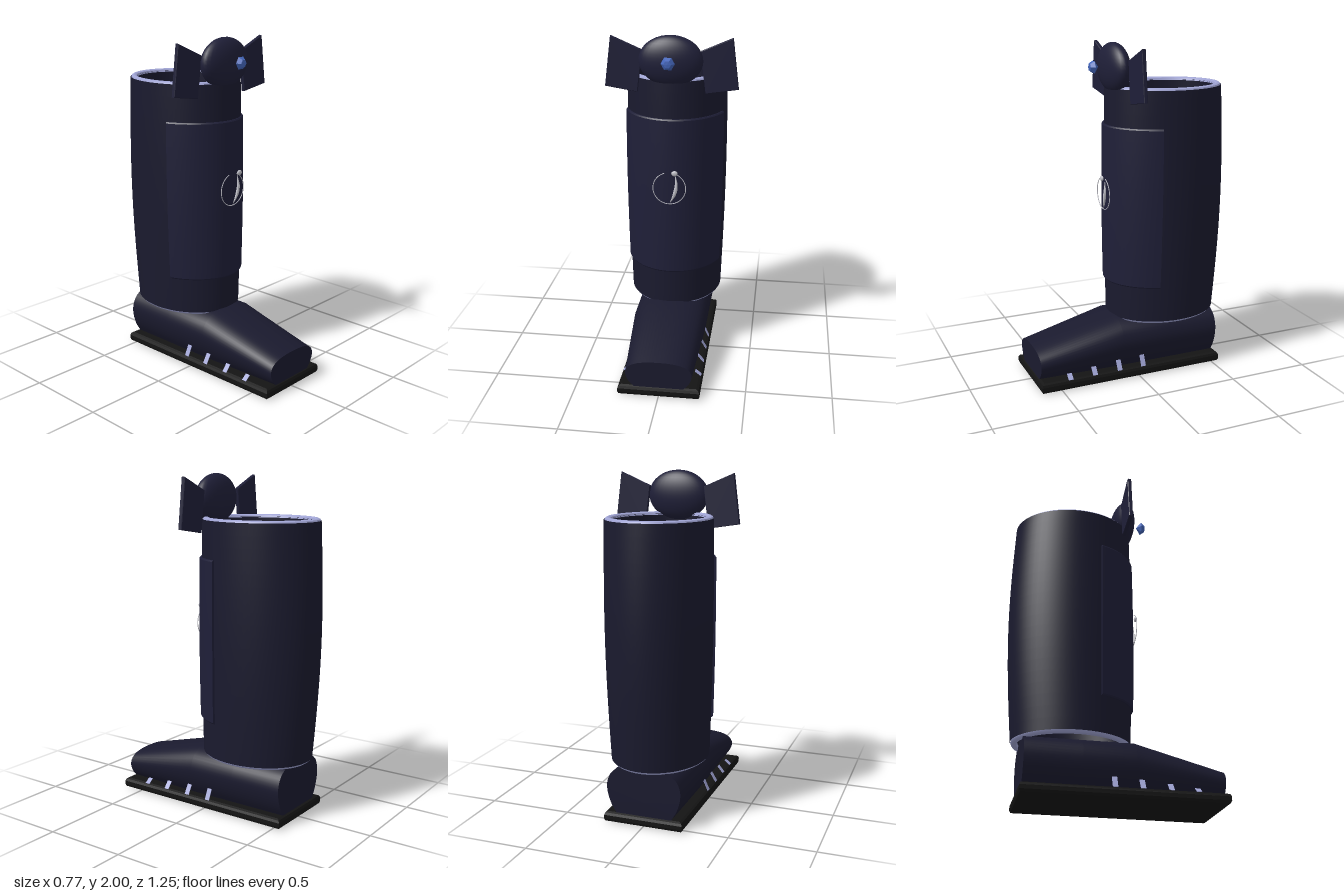
import * as THREE from 'three';
import { toCreasedNormals } from 'three/addons/utils/BufferGeometryUtils.js';

const material = (color, extra = {}) => new THREE.MeshStandardMaterial({ color, ...extra });
const leather = material(0x1a1a2e);
const panelLeather = material(0x1f1f38);
const rubber = material(0x141414);
const trim = material(0xa0a4d4);
const silver = material(0xc0c0c8);
const gemBlue = material(0x4466bb, { flatShading: true });

function add(parent, name, geometry, mat) {
  const mesh = new THREE.Mesh(geometry, mat);
  mesh.name = name;
  parent.add(mesh);
  return mesh;
}

// Skin a grid of points: point(row, column) -> [x, y, z]
function skin(rows, cols, closed, point) {
  const pos = [], index = [];
  for (let i = 0; i < rows; i++)
    for (let j = 0; j < cols; j++) pos.push(...point(i, j));
  for (let i = 0; i < rows - 1; i++)
    for (let j = 0; j < (closed ? cols : cols - 1); j++) {
      const a = i * cols + j, b = i * cols + (j + 1) % cols;
      index.push(a, b, b + cols, a, b + cols, a + cols);
    }
  const geometry = new THREE.BufferGeometry();
  geometry.setAttribute('position', new THREE.Float32BufferAttribute(pos, 3));
  geometry.setIndex(index);
  return toCreasedNormals(geometry, 0.6);
}

// Point on the gently bulging oval leg at a height, angle and inset
function legPoint(y, angle, inset) {
  const t = (y - 0.345) / 1.405;
  const bulge = Math.sin(Math.PI * THREE.MathUtils.clamp(t, 0, 1));
  const rx = 0.283 + 0.018 * t + 0.01 * bulge;
  const front = 0.108 + 0.01 * bulge;
  const back = -0.58 - 0.025 * t - 0.031 * bulge;
  const rz = (front - back) / 2;
  return [Math.sin(angle) * (rx - inset), y, (front + back) / 2 + Math.cos(angle) * (rz - inset)];
}

// Sweep an [inset, y] profile all the way round the leg
function legBand(profile) {
  const n = 64;
  return skin(profile.length, n, true, (i, j) =>
    legPoint(profile[i][1], (j / n) * Math.PI * 2, profile[i][0]));
}

function heights(from, to, steps, inset) {
  return Array.from({ length: steps + 1 }, (_, i) => [inset, from + (to - from) * i / steps]);
}

// Raised panel wrapped round the front of the leg
function wrappedPanel() {
  const y0 = 0.565, y1 = 1.525, reach = 1.2, n = 34;
  const profile = [[0.01, y0], [-0.007, y0], ...heights(y0 + 0.008, y1 - 0.008, 14, -0.013), [-0.007, y1], [0.01, y1]];
  return skin(profile.length, n + 3, false, (i, j) => {
    const k = THREE.MathUtils.clamp(j - 1, 0, n);
    const inset = j === 0 || j === n + 2 ? 0.01 : profile[i][0];
    return legPoint(profile[i][1], -reach + (2 * reach * k) / n, inset);
  });
}

// Foot lofted from one rounded cross-section, tapering to a blunt toe
function footGeometry() {
  const half = [[0.165, 0.055], [0.2, 0.115], [0.221, 0.18], [0.224, 0.24], [0.2, 0.3], [0.15, 0.337], [0.08, 0.356], [0, 0.361]];
  const mirrored = half.slice(0, -1).reverse().map(([x, y]) => [-x, y]);
  const curve = new THREE.CatmullRomCurve3([...half, ...mirrored].map(([x, y]) => new THREE.Vector3(x, y, 0)));
  const ring = curve.getPoints(47);
  // z, width scale, height scale; the end rows close the heel and toe
  const rows = [[-0.525, 0, 0.6], [-0.525, 1, 1], [-0.2, 1, 1], [0.1, 1, 1], [0.615, 0.86, 0.55], [0.615, 0, 0.3]];
  return skin(rows.length, ring.length, true, (i, j) => {
    const [z, sx, sy] = rows[i];
    const y = sx === 0 ? 0.055 + 0.305 * sy * 0.5 : 0.055 + (ring[j].y - 0.055) * sy;
    return [ring[j].x * sx, y, z];
  });
}

function soleGeometry() {
  const x = 0.22, s = new THREE.Shape();
  s.moveTo(-x, -0.607);
  s.lineTo(x, -0.607);
  s.lineTo(x, 0.523);
  s.lineTo(-x, 0.523);
  s.closePath();
  const g = new THREE.ExtrudeGeometry(s, { depth: 0.022, bevelThickness: 0.02, bevelSize: 0.02, bevelSegments: 2 });
  return g.rotateX(-Math.PI / 2).translate(0, 0.02, 0);
}

function bowWing() {
  const s = new THREE.Shape([[0.2, 1.668], [0.383, 1.697], [0.348, 1.982], [0.17, 1.905]].map(p => new THREE.Vector2(...p)));
  const g = new THREE.ExtrudeGeometry(s, { depth: 0.016, bevelThickness: 0.004, bevelSize: 0.003, bevelSegments: 1 });
  return g.translate(0, 0, 0.032);
}

export function createModel() {
  const boot = new THREE.Group();
  boot.name = 'boot';

  add(boot, 'sole', soleGeometry(), rubber);
  add(boot, 'foot', footGeometry(), leather);

  // Hollow leg with pale rims at both ends
  add(boot, 'shaft', legBand([...heights(0.35, 1.742, 20, 0), ...heights(1.742, 0.35, 20, 0.04)]), leather);
  add(boot, 'topRim', legBand([[0.002, 1.738], [0.007, 1.75], [0.016, 1.755], [0.028, 1.755], [0.037, 1.749], [0.042, 1.736]]), trim);
  add(boot, 'bottomRim', legBand([[0.042, 0.354], [0.037, 0.34], [0.028, 0.334], [0.016, 0.334], [0.007, 0.34], [0.002, 0.352]]), trim);
  add(boot, 'frontPanel', wrappedPanel(), panelLeather);

  // Short straps leaning from the sole to both sides of the foot
  const strapMat = material(0xa0a4d4, { side: THREE.DoubleSide });
  [[-0.025, 0.135], [0.13, 0.118], [0.29, 0.102], [0.445, 0.087]].forEach(([z, top]) => {
    for (const side of [-1, 1]) {
      const dx = 0.035, dy = top - 0.06;
      const strap = add(boot, 'strap', new THREE.BoxGeometry(0.003, Math.hypot(dx, dy), 0.03), strapMat);
      strap.position.set(side * 0.215, 0.06 + dy / 2, z);
      strap.rotation.z = side * Math.atan2(dx, dy);
    }
  });

  // Bow: flattened knot, two wings and a cut gem
  const bow = new THREE.Group();
  bow.name = 'bow';
  boot.add(bow);
  const knot = add(bow, 'knot', new THREE.SphereGeometry(1, 32, 20), panelLeather);
  knot.scale.set(0.185, 0.145, 0.073);
  knot.position.set(0, 1.855, 0.07);
  const wing = bowWing();
  add(bow, 'wing', wing, panelLeather);
  add(bow, 'wing', wing, panelLeather).rotation.y = Math.PI;
  bow.children[2].position.z = 0.08;
  const gemProfile = [[0, -0.03], [0.04, 0], [0.022, 0.024], [0, 0.026]].map(p => new THREE.Vector2(...p));
  const gem = add(bow, 'gem', new THREE.LatheGeometry(gemProfile, 6).rotateX(Math.PI / 2), gemBlue);
  gem.rotation.z = Math.PI / 6;
  gem.position.set(0, 1.862, 0.195);

  // Ornament: open wire ring, tapering curved blade and bead
  const ornament = new THREE.Group();
  ornament.name = 'ornament';
  boot.add(ornament);
  const ring = add(ornament, 'wireRing', new THREE.TorusGeometry(0.097, 0.0025, 6, 64, Math.PI * 1.8), silver);
  ring.rotation.z = Math.PI / 2 + 0.3;
  ring.position.set(0, 1.113, 0.138);
  const spine = new THREE.CatmullRomCurve3([[0.002, 1.02, 0.138], [0.028, 1.07, 0.145], [0.042, 1.13, 0.147], [0.036, 1.2, 0.142]].map(p => new THREE.Vector3(...p)));
  add(ornament, 'blade', skin(17, 8, true, (i, j) => {
    const c = spine.getPoint(i / 16), r = 0.011 * Math.sin(Math.PI * i / 16), a = -j * Math.PI / 4;
    return [c.x + r * Math.cos(a), c.y, c.z + r * 0.8 * -Math.sin(-a)];
  }), material(0xc0c0c8, { side: THREE.DoubleSide }));
  const bead = add(ornament, 'bead', new THREE.SphereGeometry(1, 16, 12), silver);
  bead.scale.set(0.019, 0.016, 0.009);
  bead.position.set(0.034, 1.214, 0.162);

  return boot;
}
